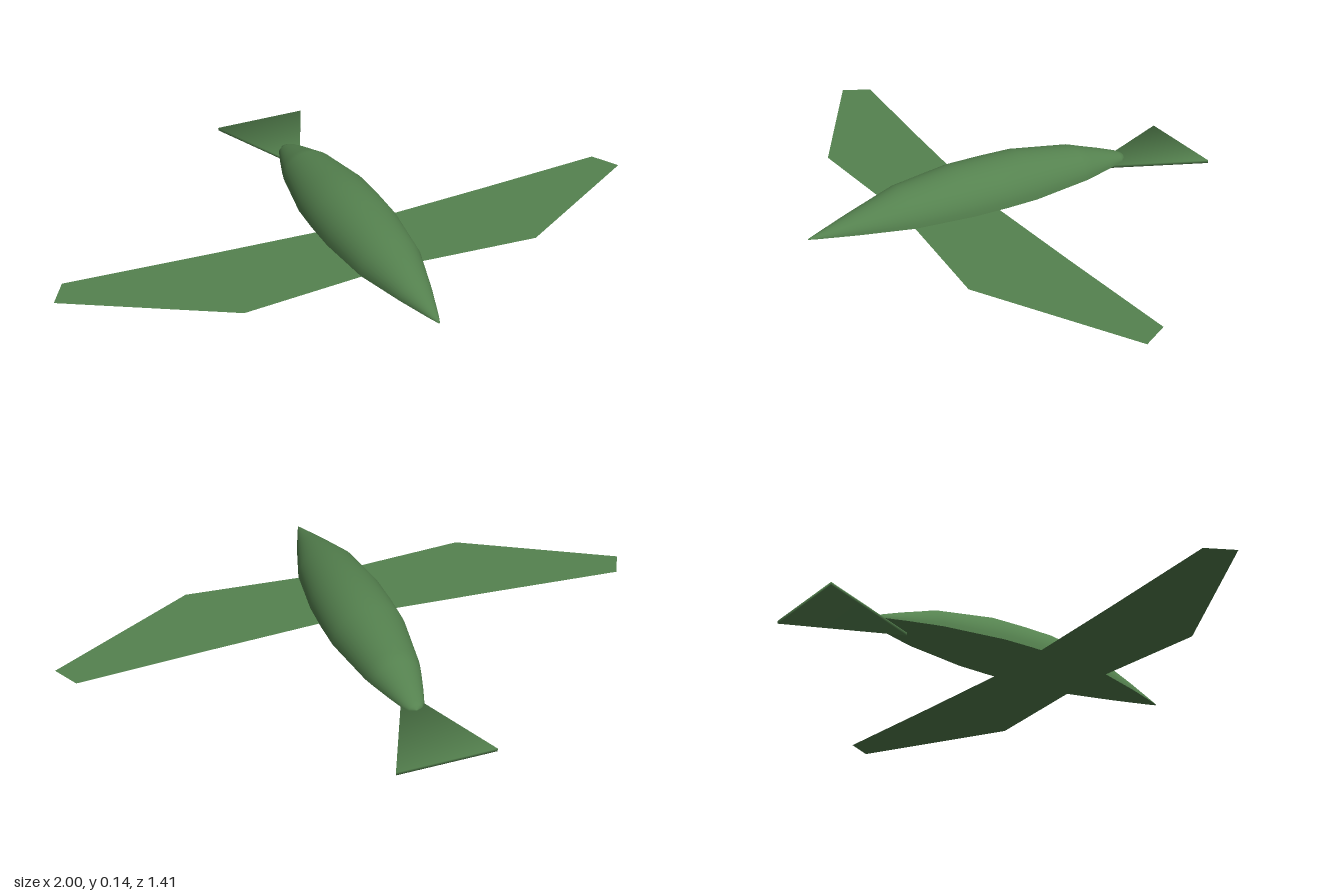
import * as THREE from 'three';

const BASE = 0.018; // height of the flat underside

// [z, half width, height above the underside], nose to tail
const STATIONS = [
  [0.70, 0.002, 0.002], [0.67, 0.014, 0.01], [0.55, 0.055, 0.046], [0.38, 0.105, 0.095],
  [0.18, 0.128, 0.119], [0.06, 0.130, 0.119], [-0.05, 0.127, 0.117], [-0.26, 0.093, 0.086],
  [-0.30, 0.082, 0.072], [-0.38, 0.057, 0.046], [-0.44, 0.036, 0.024], [-0.458, 0.022, 0.015], [-0.466, 0.002, 0.002],
];

// Skins the stations with arcs running from angle a0 to a1
function loft(a0, a1, n) {
  const pos = [], index = [];
  STATIONS.forEach(([z, w, h], i) => {
    for (let j = 0; j <= n; j++) {
      const a = a0 + (a1 - a0) * j / n;
      pos.push(w * Math.cos(a), BASE + h * Math.sin(a), z);
      if (i < STATIONS.length - 1 && j < n) {
        const p = i * (n + 1) + j, q = p + n + 1;
        index.push(p, q, p + 1, p + 1, q, q + 1);
      }
    }
  });
  const g = new THREE.BufferGeometry();
  g.setAttribute('position', new THREE.Float32BufferAttribute(pos, 3));
  g.setIndex(index);
  g.computeVertexNormals();
  return g;
}

// Thin triangular plate whose corner normals blend the top, bottom and sides
function tailPlate() {
  const corners = [[0, -0.34, 0, 0.87], [0.162, -0.71, 0.91, -0.6], [-0.162, -0.71, -0.91, -0.6]];
  const pos = [], nor = [];
  for (const [y, up] of [[0.01, 1], [0, -1]]) {
    for (const [x, z, nx, nz] of corners) {
      pos.push(x, y, z);
      nor.push(...new THREE.Vector3(nx, up, nz).normalize().toArray());
    }
  }
  const index = [0, 1, 2, 3, 5, 4];
  for (let i = 0; i < 3; i++) {
    const k = (i + 1) % 3;
    index.push(i, i + 3, k, k, i + 3, k + 3);
  }
  const g = new THREE.BufferGeometry();
  g.setAttribute('position', new THREE.Float32BufferAttribute(pos, 3));
  g.setAttribute('normal', new THREE.Float32BufferAttribute(nor, 3));
  g.setIndex(index);
  return g;
}

export function createModel() {
  const group = new THREE.Group();
  const green = new THREE.MeshStandardMaterial({ color: 0x55824f, side: THREE.DoubleSide });
  green.name = 'leaf green';

  const add = (name, geometry) => {
    const mesh = new THREE.Mesh(geometry, green);
    mesh.name = name;
    group.add(mesh);
    return mesh;
  };

  // Domed body with a flat underside
  add('body', loft(0, Math.PI, 20));
  add('bodyUnderside', loft(Math.PI, 0, 1));

  // Flat wings, outlined as (x, z) and mirrored
  const outline = [[0, 0.095], [0.13, 0.088], [0.5, 0.066], [0.95, 0.035], [1, 0.125], [0.5, 0.41], [0.11, 0.38], [0, 0.375]];
  for (const [name, side] of [['leftWing', 1], ['rightWing', -1]]) {
    const shape = new THREE.Shape(outline.map(([x, z]) => new THREE.Vector2(side * x, -z)));
    const wing = add(name, new THREE.ShapeGeometry(shape).rotateX(-Math.PI / 2));
    wing.position.y = 0.014;
  }

  // Fanned tail
  add('tail', tailPlate());
  return group;
}
